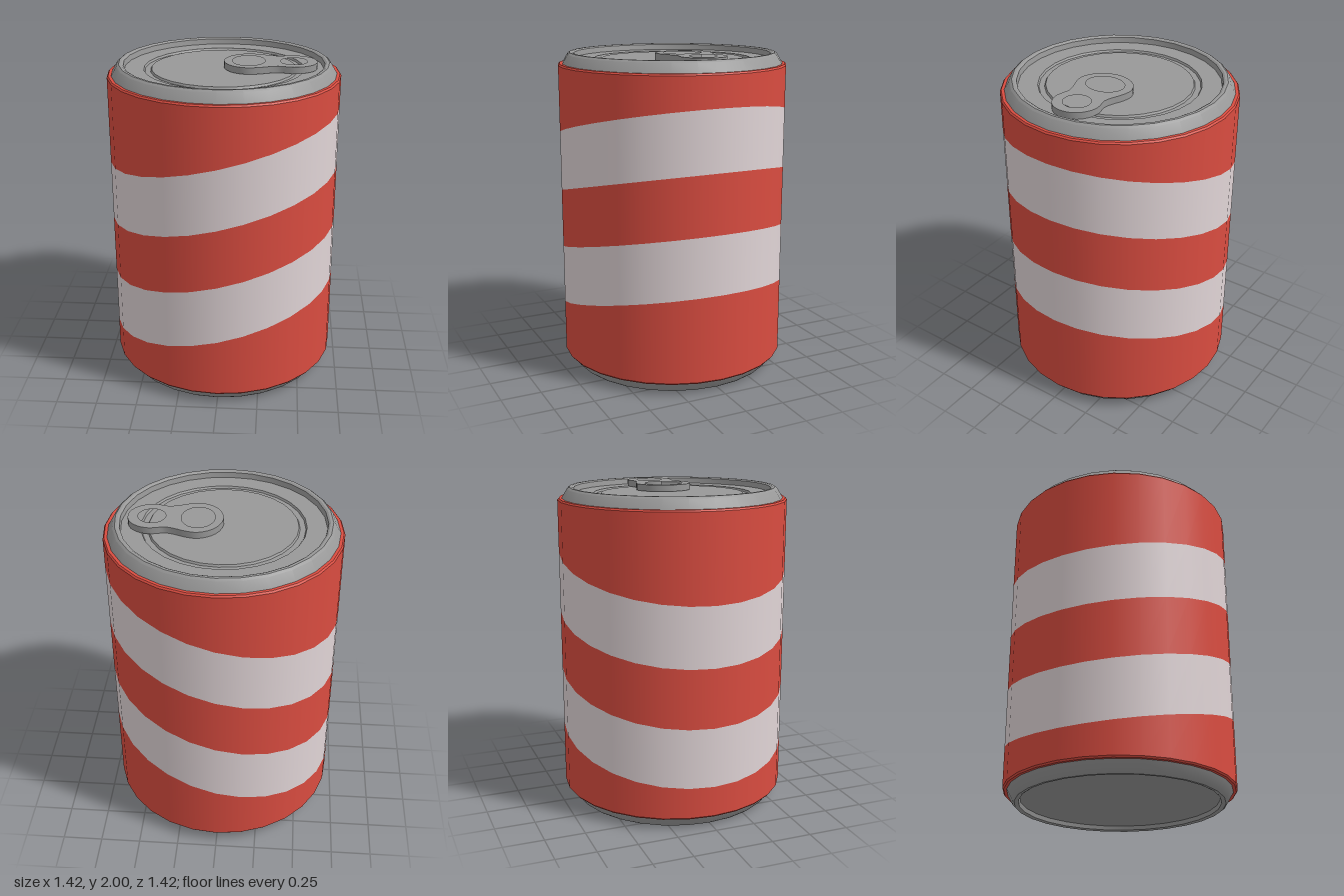
import * as THREE from 'three';
import { toCreasedNormals } from 'three/addons/utils/BufferGeometryUtils.js';

const SIDES = 28;
const RADIUS = 0.711;

function makeMaterial(name, color) {
  const material = new THREE.MeshStandardMaterial({ color });
  material.name = name;
  return material;
}

function addMesh(parent, name, geometry, material) {
  const mesh = new THREE.Mesh(geometry, material);
  mesh.name = name;
  parent.add(mesh);
  return mesh;
}

// Turned part with crisp edges along its profile
function turned(profile) {
  const points = profile.map(([r, y]) => new THREE.Vector2(r, y));
  return toCreasedNormals(new THREE.LatheGeometry(points, SIDES), 0.4);
}

// Slice of the can wall between two planes, each given as [height at centre, rise per x]
function wallBand(lower, upper) {
  const positions = [], normals = [], indices = [];
  for (let i = 0; i <= SIDES; i++) {
    const t = (i / SIDES) * Math.PI * 2;
    const nx = Math.sin(t), nz = Math.cos(t);
    for (const [height, rise] of [lower, upper]) {
      positions.push(nx * RADIUS, height + rise * nx * RADIUS, nz * RADIUS);
      normals.push(nx, 0, nz);
    }
    if (i < SIDES) {
      const a = i * 2;
      indices.push(a, a + 2, a + 3, a, a + 3, a + 1);
    }
  }
  const geometry = new THREE.BufferGeometry();
  geometry.setAttribute('position', new THREE.Float32BufferAttribute(positions, 3));
  geometry.setAttribute('normal', new THREE.Float32BufferAttribute(normals, 3));
  geometry.setIndex(indices);
  return geometry;
}

// Flat ring pull with a finger hole and a rivet hole
function pullTabGeometry() {
  const half = [[0.03, 0.1], [0.085, 0.153], [0.15, 0.174], [0.22, 0.16], [0.27, 0.14],
    [0.335, 0.124], [0.38, 0.135], [0.43, 0.142], [0.49, 0.125], [0.545, 0.075]];
  const outline = [[0, 0], ...half, [0.565, 0], ...half.map(([x, y]) => [x, -y]).reverse()];
  const curve = new THREE.CatmullRomCurve3(
    outline.map(([x, y]) => new THREE.Vector3(x, y, 0)), true);
  const shape = new THREE.Shape(
    curve.getPoints(56).slice(0, -1).map((p) => new THREE.Vector2(p.x, p.y)));
  const fingerHole = new THREE.Path().absellipse(0.15, 0, 0.1, 0.12, 0, Math.PI * 2, true);
  const rivetHole = new THREE.Path().absellipse(0.423, 0, 0.082, 0.082, 0, Math.PI * 2, true);
  shape.holes.push(fingerHole, rivetHole);
  const geometry = new THREE.ExtrudeGeometry(shape, { depth: 0.04, bevelEnabled: false, curveSegments: 12 });
  geometry.rotateX(-Math.PI / 2);
  return toCreasedNormals(geometry, 0.7);
}

export function createModel() {
  const can = new THREE.Group();
  can.name = 'drinkCan';
  const red = makeMaterial('red paint', 0xd94c40);
  const white = makeMaterial('white paint', 0xe0d4d6);
  const metal = makeMaterial('grey metal', 0x989898);

  // Metal shell: recessed base, rims, and lid with a ring groove
  addMesh(can, 'metalShell', turned([
    [0, 0.03], [0.605, 0.03], [0.612, 0.005], [0.622, 0], [0.638, 0], [0.652, 0.012], [0.685, 0.07],
    [0.685, 1.93], [0.652, 1.986], [0.638, 1.997], [0.622, 1.997], [0.61, 1.99], [0.605, 1.957],
    [0.487, 1.957], [0.48, 1.945], [0.447, 1.945], [0.44, 1.957], [0, 1.957],
  ]), metal);

  // Painted wall with slanted stripes
  const wall = new THREE.Group();
  wall.name = 'paintedWall';
  can.add(wall);
  const rise = 0.247;
  const cuts = [[0.08, 0], [0.443, rise], [0.815, rise], [1.184, rise], [1.557, rise], [1.92, 0]];
  for (let i = 0; i < cuts.length - 1; i++) {
    const isWhite = i % 2 === 1;
    addMesh(wall, isWhite ? 'whiteStripe' : 'redBand',
      wallBand(cuts[i], cuts[i + 1]), isWhite ? white : red);
  }

  // Folded edges of the painted wall
  addMesh(wall, 'lowerEdge', turned([[0.68, 0.07], [0.703, 0.07], [RADIUS, 0.08]]), red);
  addMesh(wall, 'upperEdge', turned([[RADIUS, 1.92], [0.703, 1.93], [0.68, 1.93]]), red);

  // Pull tab resting on the lid
  addMesh(can, 'pullTab', pullTabGeometry(), metal).position.y = 1.96;

  return can;
}
